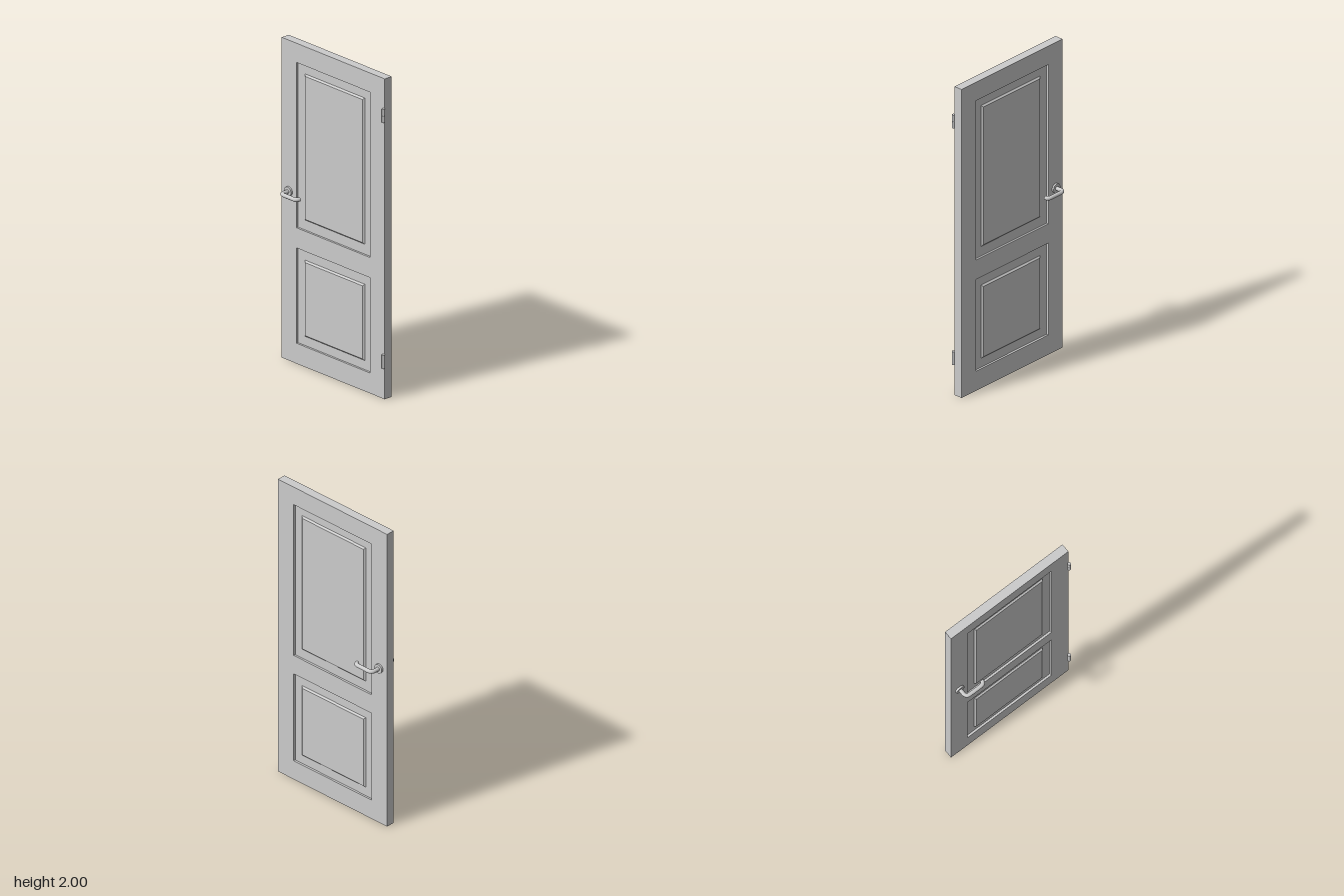
import * as THREE from 'three';

const material = new THREE.MeshStandardMaterial({ color: 0xcccccc });
const MID = -0.0025;      // centre plane of the leaf
const THICK = 0.055;
const RECESS = 0.013;     // depth of the panel recess on each face
const BEVEL = 0.01;

// Panel openings: [left, right, bottom, top]
const openings = [
  { name: 'upper', hole: [-0.315, 0.302, 0.848, 1.88], field: [-0.256, 0.247, 0.91, 1.823] },
  { name: 'lower', hole: [-0.315, 0.302, 0.127, 0.722], field: [-0.256, 0.247, 0.184, 0.66] },
];

function rect(target, [l, r, b, t], inset = 0) {
  target.moveTo(l + inset, b + inset);
  target.lineTo(r - inset, b + inset);
  target.lineTo(r - inset, t - inset);
  target.lineTo(l + inset, t - inset);
  target.closePath();
  return target;
}

function add(parent, name, geometry, x = 0, y = 0, z = 0) {
  const mesh = new THREE.Mesh(geometry, material);
  mesh.name = name;
  mesh.position.set(x, y, z);
  parent.add(mesh);
  return mesh;
}

// Lever on a round rose, built pointing out along +z
function createHandle(name) {
  const handle = new THREE.Group();
  handle.name = name;
  const rose = add(handle, 'rose', new THREE.CylinderGeometry(0.029, 0.029, 0.014, 32), 0, 0, 0.0325);
  rose.rotation.x = Math.PI / 2;

  const v = (x, z) => new THREE.Vector3(x, 0, z);
  const path = new THREE.CurvePath();
  path.add(new THREE.LineCurve3(v(0, 0.025), v(0, 0.064)));
  path.add(new THREE.QuadraticBezierCurve3(v(0, 0.064), v(0, 0.0925), v(0.028, 0.0925)));
  path.add(new THREE.LineCurve3(v(0.028, 0.0925), v(0.106, 0.0925)));
  path.add(new THREE.QuadraticBezierCurve3(v(0.106, 0.0925), v(0.131, 0.0925), v(0.133, 0.07)));
  add(handle, 'lever', new THREE.TubeGeometry(path, 64, 0.0125, 16));

  // Flat end of the lever
  const end = add(handle, 'leverEnd', new THREE.CircleGeometry(0.0125, 16), 0.133, 0, 0.07);
  end.rotation.y = Math.PI - 0.09;
  return handle;
}

export function createModel() {
  const door = new THREE.Group();
  door.name = 'door';

  // Stiles and rails in one piece, with both openings cut through
  const frame = rect(new THREE.Shape(), [-0.437, 0.427, 0, 2]);
  for (const { hole } of openings) frame.holes.push(rect(new THREE.Path(), hole));
  add(door, 'frame', new THREE.ExtrudeGeometry(frame, { depth: THICK, bevelEnabled: false }),
    0, 0, MID - THICK / 2);

  // Sunk panels with a bevelled raised field on both faces
  const core = THICK - 2 * RECESS;
  for (const { name, hole: [l, r, b, t], field } of openings) {
    add(door, name + 'Panel', new THREE.BoxGeometry(r - l, t - b, core),
      (l + r) / 2, (b + t) / 2, MID);
    const raised = new THREE.ExtrudeGeometry(rect(new THREE.Shape(), field, BEVEL), {
      depth: core, bevelThickness: BEVEL, bevelSize: BEVEL, bevelSegments: 1,
    });
    add(door, name + 'RaisedField', raised, 0, 0, MID - core / 2);
  }

  // A lever on each face, both pointing towards the hinges
  for (const side of [1, -1]) {
    const handle = createHandle(side > 0 ? 'frontHandle' : 'backHandle');
    handle.position.set(-0.376, 1.058, MID);
    handle.scale.z = side;
    door.add(handle);
  }

  // Two-knuckle hinges on the front edge
  for (const [name, y] of [['upperHinge', 1.773], ['lowerHinge', 0.238]]) {
    const hinge = new THREE.Group();
    hinge.name = name;
    for (const side of [1, -1]) {
      add(hinge, 'knuckle', new THREE.CylinderGeometry(0.01, 0.01, 0.0425, 20), 0, side * 0.0215, 0);
    }
    hinge.position.set(0.426, y, 0.034);
    door.add(hinge);
  }

  return door;
}
